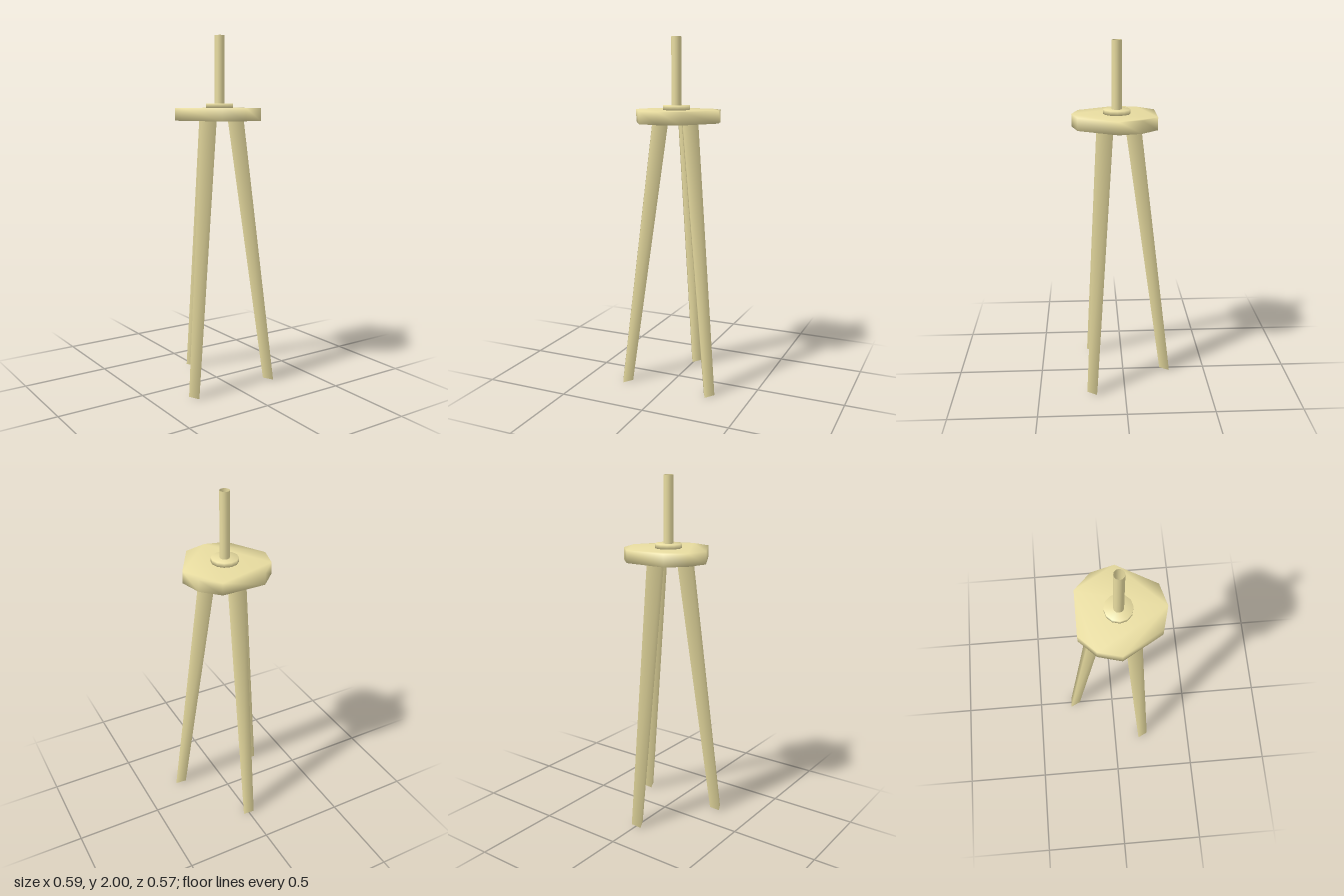
import * as THREE from 'three';
import { mergeVertices } from 'three/addons/utils/BufferGeometryUtils.js';

const material = new THREE.MeshStandardMaterial({ color: 0xe8dca0, side: THREE.DoubleSide });
const AXIS_Z = 0.033; // the shared axis of post, collar, plate and legs

function add(group, name, geometry, y) {
  const mesh = new THREE.Mesh(geometry, material);
  mesh.name = name;
  mesh.position.set(0, y, AXIS_Z);
  group.add(mesh);
  return mesh;
}

// Share normals across all edges for a soft, rounded shading
function soften(geometry) {
  geometry.deleteAttribute('uv');
  geometry.deleteAttribute('normal');
  const merged = mergeVertices(geometry, 1e-4);
  merged.computeVertexNormals();
  return merged;
}

// Twelve-sided plate with every fourth corner left out, making a flat above each leg
function plateGeometry(radius, height) {
  const points = [];
  for (let i = 0; i < 12; i++) {
    if (i % 4 === 2) continue;
    const a = (i * Math.PI) / 6;
    points.push(new THREE.Vector2(radius * Math.sin(a), -radius * Math.cos(a)));
  }
  const geometry = new THREE.ExtrudeGeometry(new THREE.Shape(points), { depth: height, bevelEnabled: false });
  geometry.rotateX(-Math.PI / 2);
  return soften(geometry);
}

// Three-sided tapered tube that leans outwards, with level ends
function legGeometry(angle, height) {
  const twist = -0.065;
  const geometry = new THREE.CylinderGeometry(0.059, 0.039, height, 3, 1, true, angle + Math.PI + twist);
  geometry.translate(0, height / 2, 0);
  const p = geometry.attributes.position;
  for (let i = 0; i < p.count; i++) {
    const out = THREE.MathUtils.lerp(0.3, 0.105, p.getY(i) / height);
    p.setX(i, p.getX(i) + out * Math.sin(angle));
    p.setZ(i, p.getZ(i) + out * Math.cos(angle));
  }
  return geometry;
}

export function createModel() {
  const group = new THREE.Group();
  group.name = 'tripodStand';

  // Legs: one at the back, two at the front
  const legs = { backLeg: Math.PI, leftLeg: Math.PI / 3, rightLeg: -Math.PI / 3 };
  for (const [name, angle] of Object.entries(legs)) add(group, name, legGeometry(angle, 1.535), 0);

  // Top plate, collar and open post
  add(group, 'topPlate', plateGeometry(0.252, 0.07), 1.53);
  add(group, 'collar', soften(new THREE.CylinderGeometry(0.076, 0.076, 0.026, 12)), 1.612);
  add(group, 'post', new THREE.CylinderGeometry(0.028, 0.028, 0.38, 12, 1, true), 1.81);

  return group;
}
